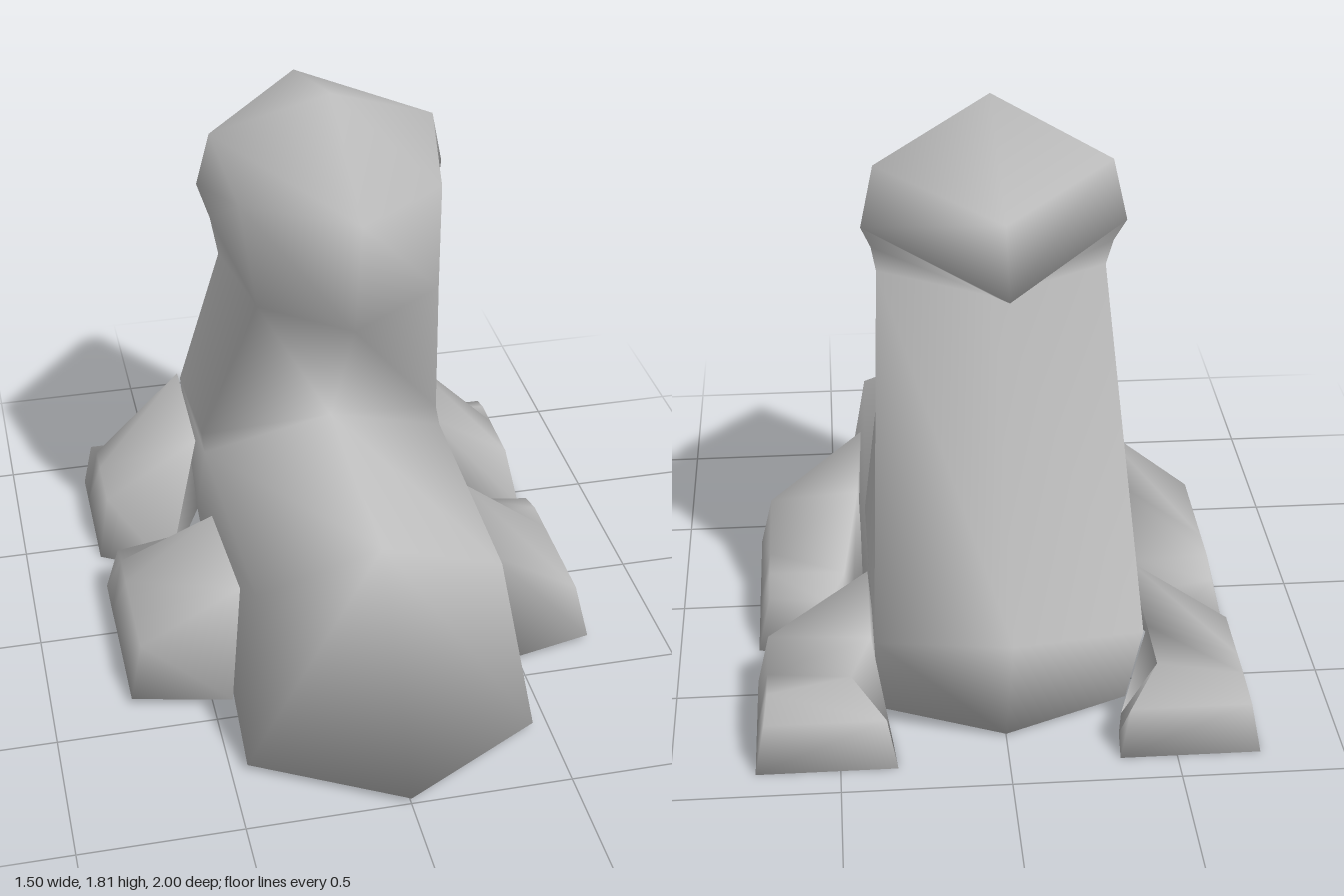
import * as THREE from 'three';
import { mergeVertices } from 'three/addons/utils/BufferGeometryUtils.js';

// Skin between rings of points (clockwise seen from +z), capped at both ends
function loft(rings) {
  const n = rings[0].length, pos = [];
  const tri = (a, b, c) => {
    const [A, B, C] = [a, b, c].map(p => new THREE.Vector3(...p));
    const area = B.clone().sub(A).cross(C.clone().sub(A)).length();
    if (area > 1e-5) pos.push(...a, ...b, ...c);
  };
  for (let i = 0; i < rings.length - 1; i++) {
    const r = rings[i], s = rings[i + 1];
    for (let j = 0; j < n; j++) {
      const k = (j + 1) % n;
      tri(r[j], r[k], s[j]);
      tri(r[k], s[k], s[j]);
    }
  }
  const first = rings[0], last = rings[rings.length - 1];
  for (let j = 1; j < n - 1; j++) {
    tri(first[0], first[j + 1], first[j]);
    tri(last[0], last[j], last[j + 1]);
  }
  let g = new THREE.BufferGeometry();
  g.setAttribute('position', new THREE.Float32BufferAttribute(pos, 3));
  g = mergeVertices(g, 1e-4);
  g.computeVertexNormals();
  return g;
}

const mirror = ([x, y, z]) => [-x, y, z];

// Six-sided ring: top ridge, upper side, lower side, bottom ridge, mirrored in x
const bodyRing = (top, upper, lower, bottom) => [
  [0, ...top], upper, lower, [0, ...bottom], mirror(lower), mirror(upper)
];

export function createModel() {
  const group = new THREE.Group();
  const grey = new THREE.MeshStandardMaterial({ color: 0xbfbfbf });
  grey.name = 'plain grey';

  const add = (name, rings) => {
    const mesh = new THREE.Mesh(loft(rings), grey);
    mesh.name = name;
    group.add(mesh);
  };

  // Body, neck and head in one smooth skin, from tail to beak
  add('body', [
    bodyRing([0.65, 0.6], [0.38, 0.52, 0.58], [0.45, 0.02, 0.75], [0.02, 1]),
    bodyRing([0.67, -0.13], [0.4, 0.5, -0.25], [0.38, 0.02, -0.62], [0.01, -0.77]),
    bodyRing([0.67, -0.13], [0.4, 0.54, -0.3], [0.39, 0.42, -0.86], [0.48, -1]),
    bodyRing([1.18, 0.22], [0.28, 1.25, 0.13], [0.345, 1.28, -0.17], [1.23, -0.27]),
    bodyRing([1.58, 0.31], [0.31, 1.54, 0.03], [0.36, 1.38, -0.22], [1.23, -0.27]),
    bodyRing([1.81, -0.11], [0.35, 1.65, -0.25], [0.39, 1.47, -0.28], [1.23, -0.27]),
    bodyRing([1.64, -0.69], [0, 1.64, -0.69], [0, 1.47, -0.82], [1.47, -0.82])
  ]);

  // Legs: inner top, outer top, outer bottom, inner bottom per ring
  const legs = {
    TailLeg: [
      [[0.4, 0.42, 0.4], [0.71, 0.2, 0.34], [0.75, 0.02, 0.37], [0.44, 0.02, 0.44]],
      [[0.42, 0.42, 0], [0.71, 0.2, 0], [0.75, 0.01, 0], [0.4, 0.01, 0]],
      [[0.47, 0.2, -0.13], [0.71, 0.2, -0.12], [0.75, 0, -0.12], [0.45, 0, -0.13]],
      [[0.52, 0.17, -0.26], [0.71, 0.17, -0.22], [0.75, 0, -0.26], [0.52, 0, -0.31]]
    ],
    ChestLeg: [
      [[0.4, 0.41, -0.46], [0.71, 0.2, -0.48], [0.75, 0, -0.43], [0.53, 0, -0.3]],
      [[0.4, 0.44, -0.86], [0.71, 0.2, -0.68], [0.75, 0, -0.68], [0.36, 0, -0.68]],
      [[0.46, 0.2, -0.71], [0.71, 0.2, -0.78], [0.75, 0, -0.78], [0.34, 0, -0.78]],
      [[0.36, 0.16, -0.88], [0.72, 0.16, -0.88], [0.75, 0, -0.9], [0.33, 0, -0.9]]
    ]
  };
  for (const [name, rings] of Object.entries(legs)) {
    add('left' + name, rings);
    add('right' + name, rings.map(r => r.map(mirror).reverse()));
  }
  return group;
}
